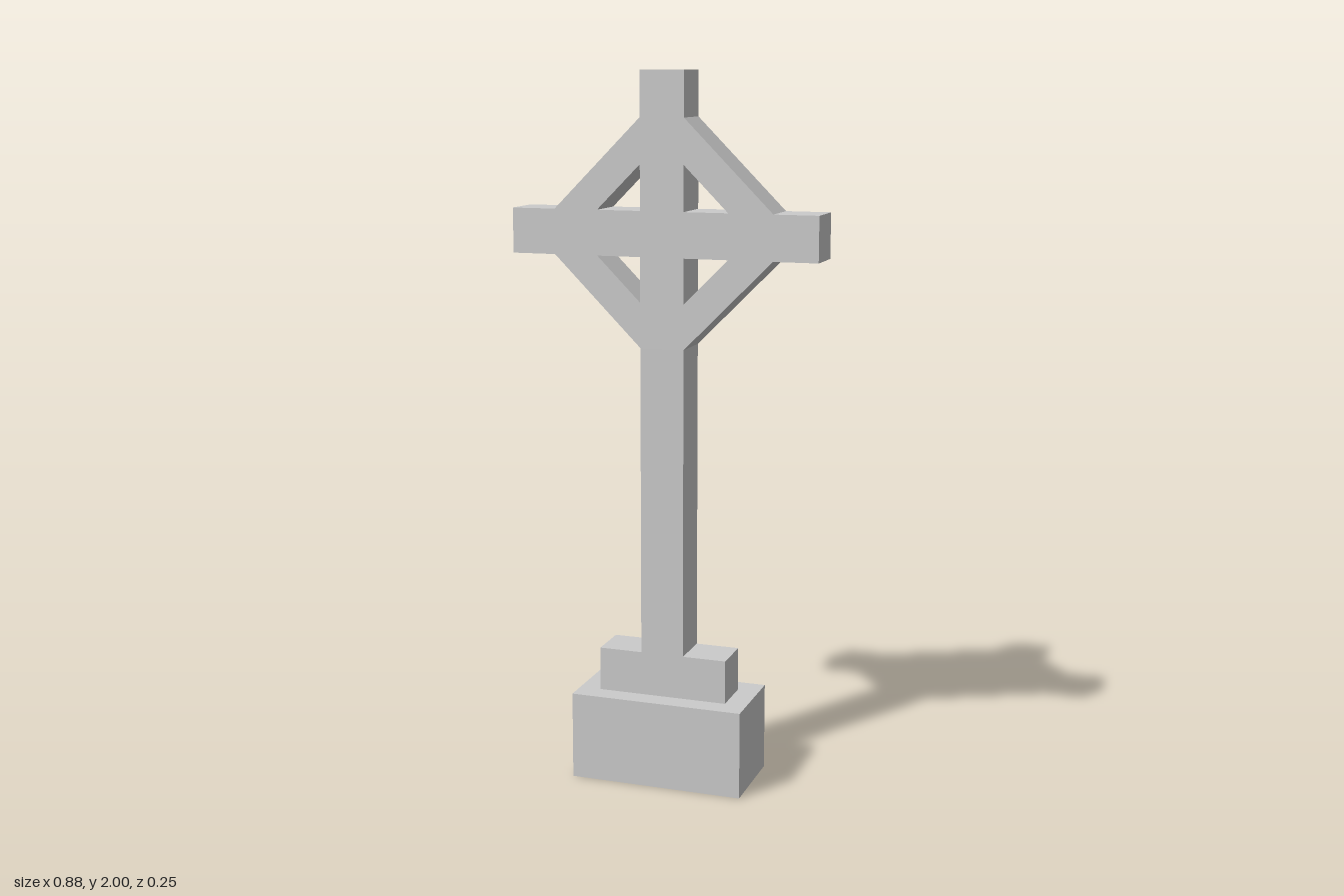
import * as THREE from 'three';

const U = 0.0625; // half the thickness of the stone bars
const ARM_Y = 1.5625; // height of the cross centre

const stone = new THREE.MeshStandardMaterial({ color: 0xcccccc, flatShading: true });
const openStone = stone.clone();
openStone.side = THREE.DoubleSide;

const points = (list) => list.map(([x, y]) => new THREE.Vector2(x, y));

function addPart(group, name, geometry, material = stone) {
  const mesh = new THREE.Mesh(geometry, material);
  mesh.name = name;
  group.add(mesh);
  return mesh;
}

// Shaft, arms and the diamond ring of braces, pierced by four triangles
function crossGeometry() {
  const right = [
    [U, 0.375], [U, 1.25], [5 * U, ARM_Y - U], [7 * U, ARM_Y - U],
    [7 * U, ARM_Y + U], [5 * U, ARM_Y + U], [U, 1.875], [U, 2],
  ];
  const left = right.map(([x, y]) => [-x, y]).reverse();
  const shape = new THREE.Shape(points([...right, ...left]));
  for (const sx of [-1, 1]) {
    for (const sy of [-1, 1]) {
      const corners = [[U, U], [3 * U, U], [U, 3 * U]];
      shape.holes.push(new THREE.Path(points(corners.map(([x, y]) => [sx * x, ARM_Y + sy * y]))));
    }
  }
  return new THREE.ExtrudeGeometry(shape, { depth: 2 * U, bevelEnabled: false }).translate(0, 0, -U);
}

// Plinth block without an underside
function plinthGeometry() {
  const box = new THREE.BoxGeometry(0.5, 0.25, 0.25).translate(0, 0.125, 0);
  const index = Array.from(box.index.array);
  index.splice(18, 6); // bottom face
  box.setIndex(index);
  box.clearGroups();
  return box;
}

export function createModel() {
  const model = new THREE.Group();
  model.name = 'stoneCross';
  addPart(model, 'plinth', plinthGeometry(), openStone);
  addPart(model, 'step', new THREE.BoxGeometry(6 * U, 2 * U, 2 * U).translate(0, 0.25 + U, 0));
  addPart(model, 'ringedCross', crossGeometry());
  return model;
}
